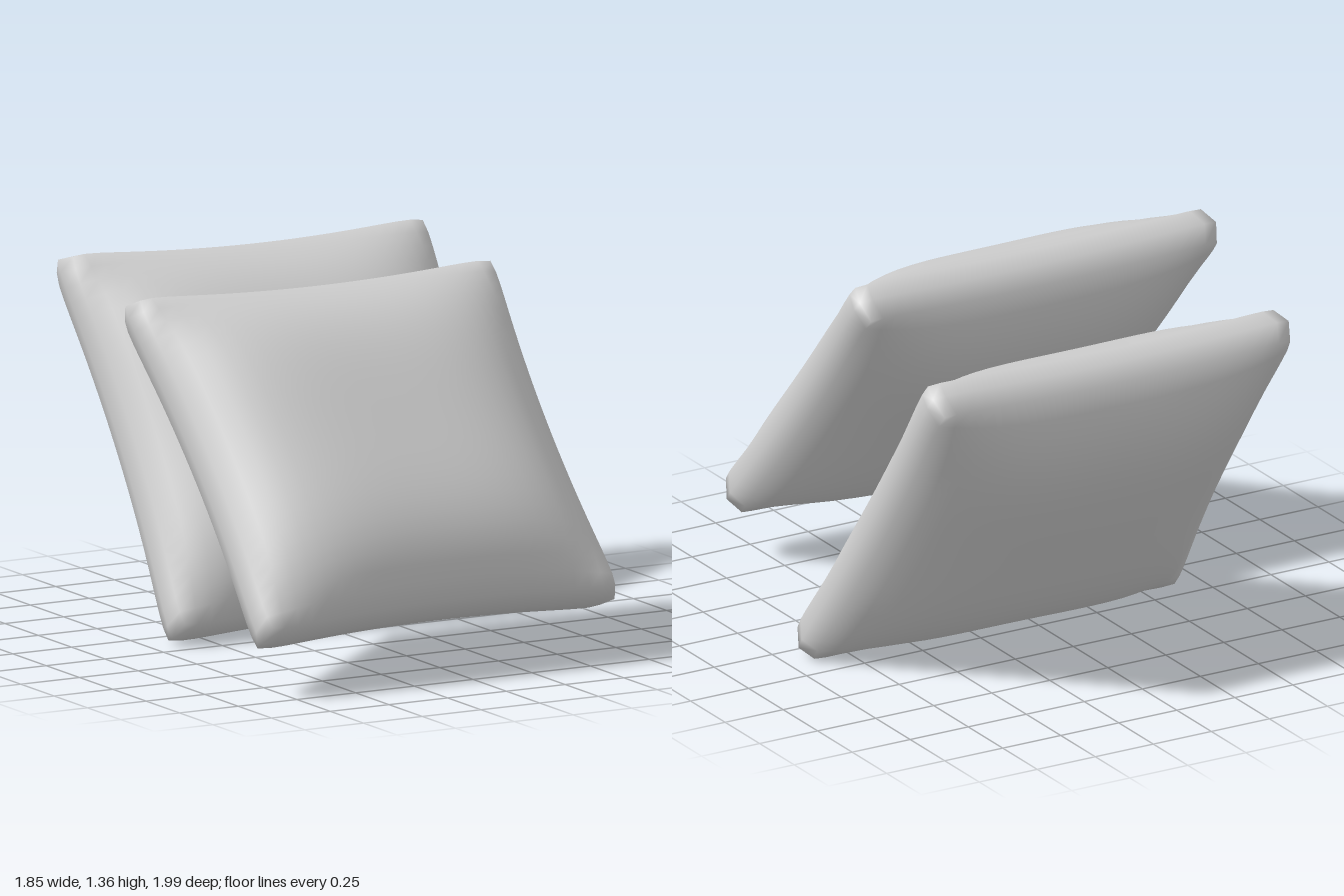
import * as THREE from 'three';
import { mergeVertices } from 'three/addons/utils/BufferGeometryUtils.js';

const fabric = new THREE.MeshStandardMaterial({ color: 0xcccccc });
fabric.name = 'grey fabric';

// Stuffed cushion spanning four rim corners, with a pillow swell on both faces
function cushion(name, bottomLeft, bottomRight, topLeft, topRight, swell) {
  const [a, b, c, d] = [bottomLeft, bottomRight, topLeft, topRight].map((p) => new THREE.Vector3(...p));
  const normal = new THREE.Vector3()
    .crossVectors(d.clone().sub(a), c.clone().sub(b))
    .normalize();
  const rim = 0.075; // half thickness at the seam
  const bow = 0.055; // how far the edges pull in between corners

  let geometry = new THREE.BoxGeometry(2, 2, 2, 24, 24, 2);
  geometry.deleteAttribute('uv');
  geometry.deleteAttribute('normal');
  geometry = mergeVertices(geometry);

  const pos = geometry.attributes.position;
  const low = new THREE.Vector3();
  const high = new THREE.Vector3();
  for (let i = 0; i < pos.count; i++) {
    const u = pos.getX(i), v = pos.getY(i), w = pos.getZ(i);
    // rounded corners and a slightly proud seam
    const round = 1 - 0.025 * Math.abs(u * v) ** 12;
    const seam = Math.abs(w) < 0.5 ? 1.03 : 1;
    const s = u * (1 - bow * (1 - v * v)) * round * seam;
    const t = v * (1 - bow * (1 - u * u)) * round * seam;
    const h = rim + (swell - rim) * (1 - u ** 4) * (1 - v ** 4);
    low.lerpVectors(a, b, (s + 1) / 2);
    high.lerpVectors(c, d, (s + 1) / 2);
    low.lerp(high, (t + 1) / 2).addScaledVector(normal, w * h);
    pos.setXYZ(i, low.x, low.y, low.z);
  }
  geometry.computeVertexNormals();
  const mesh = new THREE.Mesh(geometry, fabric);
  mesh.name = name;
  return mesh;
}

export function createModel() {
  const group = new THREE.Group();
  group.name = 'leaning cushions';
  group.add(
    cushion('frontCushion',
      [-0.865, 0.245, 0.945], [0.635, 0.26, 0.935],
      [-0.92, 1.355, 0.02], [0.62, 1.35, 0.0], 0.27),
    cushion('backCushion',
      [-0.66, 0.06, -0.085], [0.92, 0.065, -0.065],
      [-0.665, 1.335, -0.935], [0.855, 1.325, -0.925], 0.285)
  );
  return group;
}
